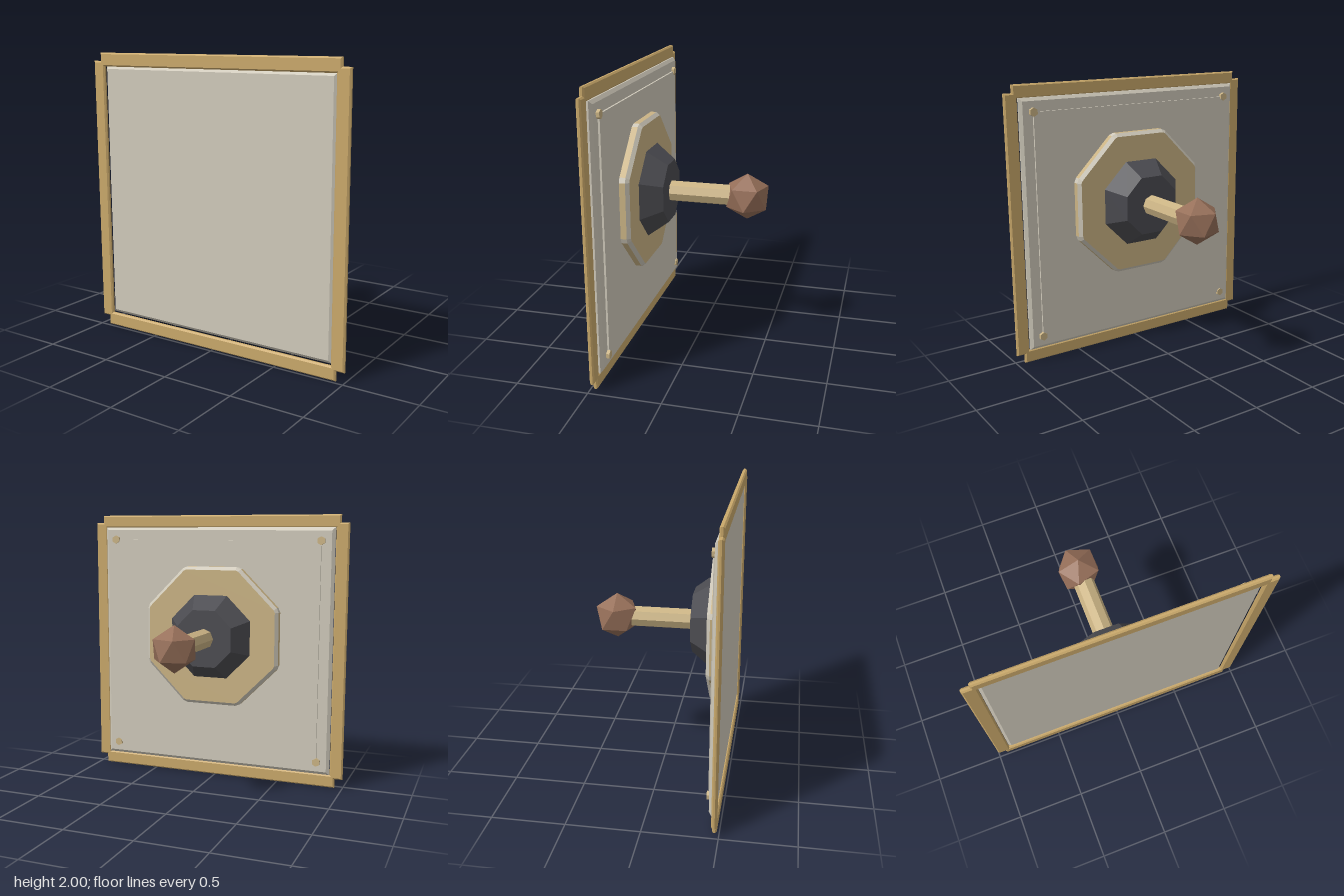
import * as THREE from 'three';

const mat = (name, color) => {
  const m = new THREE.MeshStandardMaterial({ color });
  m.name = name;
  return m;
};

// Facet a geometry so every face is flat
function flat(geo) {
  const g = geo.index ? geo.toNonIndexed() : geo;
  g.computeVertexNormals();
  return g;
}

// Box with chamfered edges, spanning z0..z1
function chamferBox(w, h, z0, z1, bevel, bevelZ) {
  const a = w / 2 - bevel, b = h / 2 - bevel;
  const shape = new THREE.Shape([[-a, -b], [a, -b], [a, b], [-a, b]].map(p => new THREE.Vector2(...p)));
  const g = new THREE.ExtrudeGeometry(shape, {
    depth: z1 - z0 - 2 * bevelZ, bevelEnabled: true, bevelSegments: 1, bevelSize: bevel, bevelThickness: bevelZ,
  });
  return g.translate(0, 0, z0 + bevelZ);
}

// Prism or frustum along z; rFront is the +z radius
function prismZ(rFront, rBack, zFront, zBack, sides, start = 0) {
  const g = new THREE.CylinderGeometry(rFront, rBack, zFront - zBack, sides, 1, false, start);
  return flat(g.rotateX(Math.PI / 2).translate(0, 0, (zFront + zBack) / 2));
}

// Octagon with trimmed corners, counter-clockwise
function trimmedOctagon(apothem, halfFlat) {
  const pts = [];
  for (let i = 0; i < 8; i++) {
    const a = i * Math.PI / 4;
    for (const s of [-halfFlat, halfFlat]) {
      pts.push(new THREE.Vector2(apothem * Math.cos(a) - s * Math.sin(a), apothem * Math.sin(a) + s * Math.cos(a)));
    }
  }
  return pts;
}

// Side faces between a front ring and a back ring, limited to the chosen sides
function band(front, zF, back, zB, pick) {
  const pos = [], n = front.length;
  for (let i = 0; i < n; i++) {
    if (!pick(i)) continue;
    const j = (i + 1) % n;
    const fi = [front[i].x, front[i].y, zF], fj = [front[j].x, front[j].y, zF];
    const bi = [back[i].x, back[i].y, zB], bj = [back[j].x, back[j].y, zB];
    pos.push(...bi, ...bj, ...fj, ...bi, ...fj, ...fi);
  }
  const g = new THREE.BufferGeometry();
  g.setAttribute('position', new THREE.Float32BufferAttribute(pos, 3));
  g.computeVertexNormals();
  return g;
}

export function createModel() {
  const root = new THREE.Group();
  root.name = 'plateWithHandle';
  const gold = mat('gold', 0xc9a86a);
  const stone = mat('pale stone', 0xcfc9ba);
  const tan = mat('tan', 0xcab384);
  const dark = mat('charcoal', 0x4b4b50);
  const brown = mat('brown', 0x966f59);

  const add = (name, geo, material, x = 0, y = 0, z = 0, parent = root) => {
    const m = new THREE.Mesh(geo, material);
    m.name = name;
    m.position.set(x, y, z);
    parent.add(m);
    return m;
  };

  // Frame of four overlapping bars
  const frame = new THREE.Group();
  frame.name = 'frame';
  root.add(frame);
  const side = chamferBox(0.095, 1.875, 0.452, 0.485, 0.01, 0.01);
  const rail = chamferBox(1.88, 0.095, 0.452, 0.485, 0.01, 0.01);
  for (const s of [-1, 1]) {
    add(s > 0 ? 'leftFrameBar' : 'rightFrameBar', side, gold, s * 0.9525, 1.005, 0, frame);
    add(s > 0 ? 'topFrameBar' : 'bottomFrameBar', rail, gold, 0, 1 + s * 0.9525, 0, frame);
  }

  // Main panel and the thin raised plate on its back
  add('panel', chamferBox(1.81, 1.81, 0.425, 0.471, 0.022, 0.018), stone, 0, 1.005);
  add('backPlate', new THREE.BoxGeometry(1.62, 1.62, 0.02), stone, 0, 1.005, 0.422);

  // Hexagonal bolts at the plate corners
  const bolt = prismZ(0.031, 0.031, 0.435, 0.403, 6);
  for (const x of [-0.81, 0.81]) for (const y of [-0.81, 0.81]) add('bolt', bolt, tan, x, 1.005 + y);

  // Octagonal mount with pale chamfers
  const mount = new THREE.Group();
  mount.name = 'mount';
  mount.position.y = 1.1;
  root.add(mount);
  const outer = trimmedOctagon(0.52, 0.195), inner = trimmedOctagon(0.497, 0.195);
  add('mountSides', band(outer, 0.42, outer, 0.37, i => i % 2 === 0), tan, 0, 0, 0, mount);
  add('mountCorners', band(outer, 0.42, outer, 0.37, i => i % 2 === 1), stone, 0, 0, 0, mount);
  add('mountChamfer', band(outer, 0.37, inner, 0.347, () => true), stone, 0, 0, 0, mount);
  const cap = new THREE.ShapeGeometry(new THREE.Shape(inner)).rotateY(Math.PI);
  add('mountFace', cap, tan, 0, 0, 0.347, mount);

  // Collar, handle rod and faceted knob
  add('collar', prismZ(0.336, 0.227, 0.348, 0.205, 8, Math.PI / 8), dark, 0, 1.1);
  add('rod', prismZ(0.075, 0.075, 0.21, -0.3, 8), tan, 0, 1.1);
  const knob = new THREE.IcosahedronGeometry(0.165, 0);
  knob.rotateX(-Math.atan((1 + Math.sqrt(5)) / 2)).rotateY(-Math.PI / 2);
  add('knob', flat(knob), brown, 0, 1.1, -0.344);

  return root;
}
